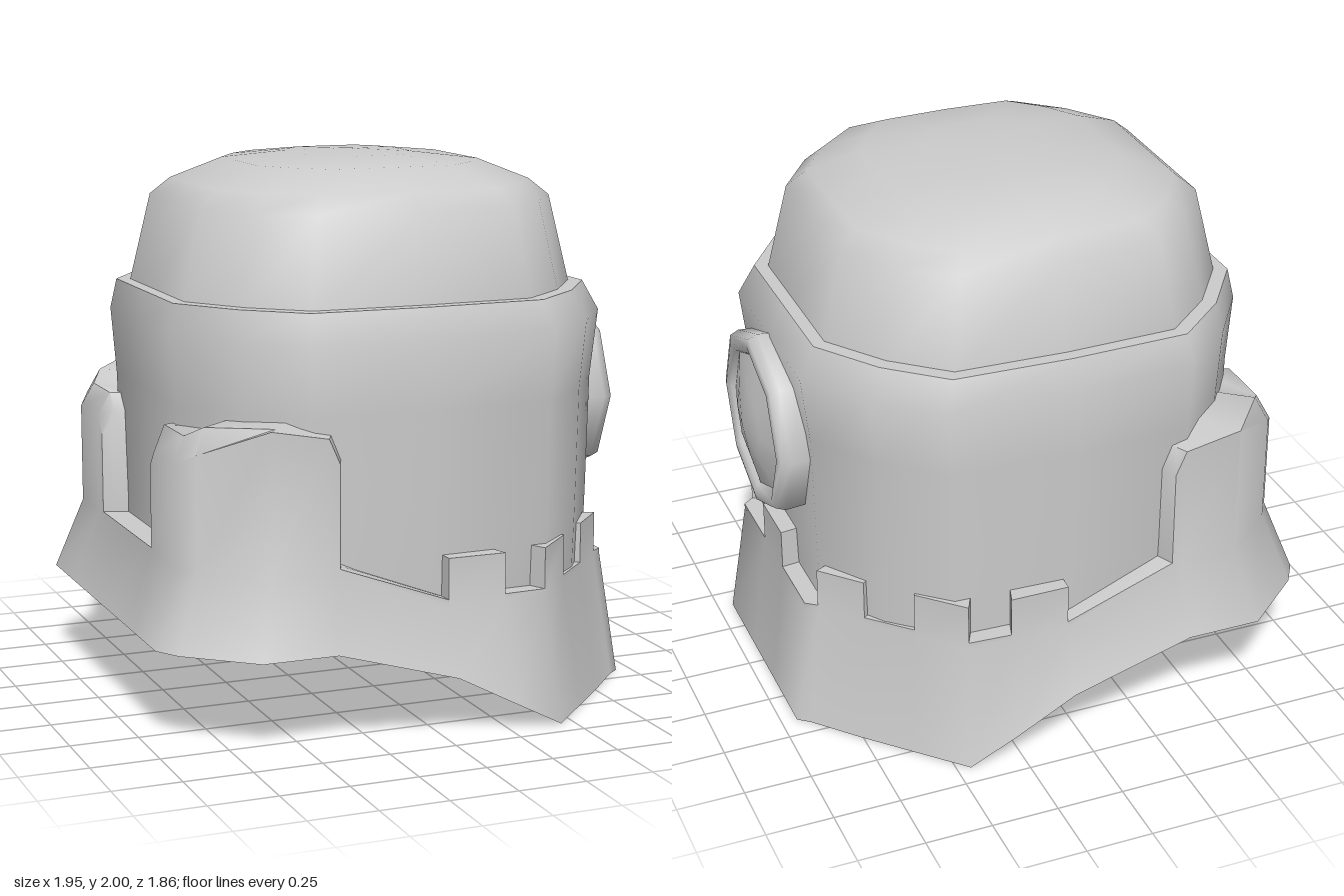
import * as THREE from 'three';
import { toCreasedNormals } from 'three/addons/utils/BufferGeometryUtils.js';

const material = new THREE.MeshStandardMaterial({ color: 0xcccccc });

// Skin a closed loop of columns; each column is a list of points from bottom to top.
function skin(columns, crease) {
  const rows = columns[0].length;
  const index = [];
  columns.forEach((_, i) => {
    const a = i * rows, b = ((i + 1) % columns.length) * rows;
    for (let r = 0; r < rows - 1; r++) {
      index.push(a + r, b + r, b + r + 1, a + r, b + r + 1, a + r + 1);
    }
  });
  const geo = new THREE.BufferGeometry();
  geo.setAttribute('position', new THREE.Float32BufferAttribute(columns.flat(2), 3));
  geo.setIndex(index);
  return toCreasedNormals(geo, crease);
}

function part(name, geo) {
  const mesh = new THREE.Mesh(geo, material);
  mesh.name = name;
  return mesh;
}

// Rounded octagon outline, counter-clockwise when seen from outside (-x, +z, +x, -z).
const quarter = [[1, 0], [1, 0.45], [0.8, 0.75], [0.55, 0.98], [0, 1]];
const half = [...quarter.map(([x, z]) => [-x, z]), ...quarter.slice(0, 4).reverse()];
const outline = [...half, ...half.slice(1, -1).reverse().map(([x, z]) => [x, -z])];

// Loft of rings: [y, half width on -x, half width on +x, half depth].
function loft(rings, crease) {
  return skin(outline.map(([x, z]) =>
    rings.map(([y, l, r, d]) => [x * (x < 0 ? l : r), y, z * d])), crease);
}

// Height of the skirt's lower edge: level, then sloping down towards +x.
function lowerEdge(x) {
  if (x < -0.41) return 0.35;
  if (x < 0) return 0.24 - (x / 0.41) * 0.11;
  return Math.max(0, 0.24 * (1 - x / 0.45));
}

function skirtColumn([x, z, y]) {
  const bx = x * (x < 0 ? 1.11 : 1.07), bz = z * 1.107;
  const by = lowerEdge(bx);
  const knee = Math.min(y, THREE.MathUtils.mapLinear(THREE.MathUtils.clamp(x, -0.37, 0.04), -0.37, 0.04, 0.62, 0.46));
  const rise = y > 0.7 && x < -0.8 ? 0.09 : 0;
  return [
    [bx, by, 0], [bx, by, bz], [x, knee, z], [x, y, z],
    [x * 0.95, y + rise, z * 0.95], [x * 0.8, y + rise, z * 0.8],
  ];
}

export function createModel() {
  const model = new THREE.Group();
  model.name = 'tower';

  // Main drum with a rounded shoulder and a flat ledge
  model.add(part('body', loft([
    [0.35, 0.79, 0.81, 0.78], [0.7, 0.79, 0.82, 0.79], [1.15, 0.8, 0.83, 0.795],
    [1.4, 0.82, 0.86, 0.8], [1.51, 0.8, 0.8, 0.76], [1.51, 0.7, 0.7, 0.68],
  ], 0.9)));

  // Domed cap
  model.add(part('roof', loft([
    [1.5, 0.755, 0.755, 0.712], [1.83, 0.68, 0.68, 0.65], [1.89, 0.61, 0.61, 0.59],
    [1.965, 0.43, 0.43, 0.44], [1.99, 0.21, 0.21, 0.24], [2, 0, 0, 0],
  ], 1.1)));

  // Flared skirt: outer top edge [x, z, y] with the tall corner guards and the battlements
  const lo = 0.48, hi = 0.63;
  const edge = [
    [-0.88, 0, hi], [-0.88, 0.3, hi], [-0.88, 0.3, 0.93], [-0.88, 0.35, 0.99], [-0.88, 0.58, 0.99],
    [-0.83, 0.66, 1.03], [-0.62, 0.84, 1.13], [-0.41, 0.84, 1.09], [-0.37, 0.84, 1], [-0.37, 0.84, hi],
    [0.04, 0.84, lo], [0.04, 0.84, hi], [0.26, 0.84, hi], [0.26, 0.84, lo],
    [0.42, 0.83, lo], [0.42, 0.83, hi], [0.57, 0.68, hi], [0.57, 0.68, lo],
    [0.71, 0.54, lo], [0.71, 0.54, hi], [0.84, 0.4, hi], [0.84, 0.4, lo], [0.88, 0.37, lo],
    [0.88, 0.11, lo], [0.88, 0.11, hi], [0.88, 0, hi],
  ];
  const loop = [...edge, ...edge.slice(1, -1).reverse().map(([x, z, y]) => [x, -z, y])];
  model.add(part('skirt', skin(loop.map(skirtColumn), 0.95)));

  // Round window on the side: rim and bulging pane
  const porthole = new THREE.Group();
  porthole.name = 'porthole';
  const turned = (points, crease) => toCreasedNormals(
    new THREE.LatheGeometry(points.map(([r, h]) => new THREE.Vector2(r, h)), 8), crease);
  porthole.add(part('rim', turned([
    [0.33, 0.78], [0.345, 0.83], [0.35, 0.9], [0.335, 0.935], [0.305, 0.942], [0.275, 0.93], [0.255, 0.9],
  ], 1.1)));
  porthole.add(part('pane', turned([[0.27, 0.915], [0.14, 0.95], [0, 0.975]], 1.1)));
  porthole.rotation.z = -Math.PI / 2;
  porthole.position.y = 1.06;
  model.add(porthole);

  return model;
}
